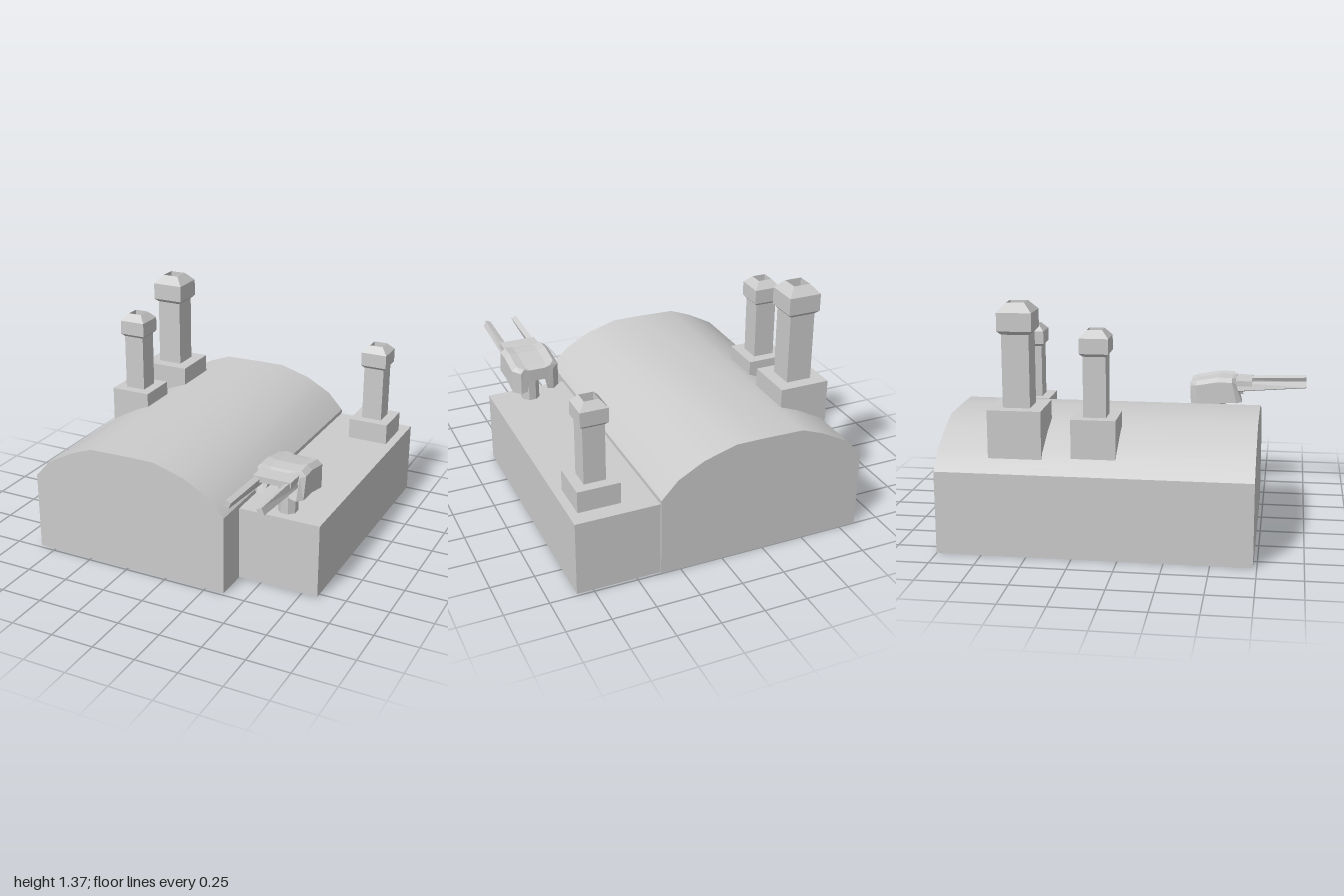
import * as THREE from 'three';
import { toCreasedNormals } from 'three/addons/utils/BufferGeometryUtils.js';

const smoothGrey = new THREE.MeshStandardMaterial({ color: 0xcccccc });
const flatGrey = new THREE.MeshStandardMaterial({ color: 0xcccccc, flatShading: true });

function part(name, geometry, material = flatGrey) {
  const mesh = new THREE.Mesh(geometry, material);
  mesh.name = name;
  return mesh;
}

function block(name, x0, x1, y0, y1, z0, z1) {
  const mesh = part(name, new THREE.BoxGeometry(x1 - x0, y1 - y0, z1 - z0));
  mesh.position.set((x0 + x1) / 2, (y0 + y1) / 2, (z0 + z1) / 2);
  return mesh;
}

// Solid through sections ordered back to front; each has a top and a bottom row, both along +x
function loft(sections) {
  const rings = sections.map(({ top, bottom }) => [...top, ...[...bottom].reverse()]);
  const n = rings[0].length;
  const last = rings.length - 1;
  const index = [];
  for (let s = 0; s < last; s++) {
    for (let i = 0; i < n; i++) {
      const a = s * n + i, b = s * n + (i + 1) % n;
      index.push(a, a + n, b, b, a + n, b + n);
    }
  }
  for (let i = 0; i < n / 2 - 1; i++) {
    const j = n - 1 - i, f = last * n;
    index.push(f + i, f + j, f + j - 1, f + i, f + j - 1, f + i + 1);
    index.push(i, j - 1, j, i, i + 1, j - 1);
  }
  const g = new THREE.BufferGeometry();
  g.setAttribute('position', new THREE.Float32BufferAttribute(rings.flat(2), 3));
  g.setIndex(index);
  const flat = g.toNonIndexed();
  flat.computeVertexNormals();
  return flat;
}

// Hall with a vaulted roof
function hall() {
  const profile = [[-0.85, 0], [0.365, 0], [0.365, 0.465], [0.27, 0.567], [0.12, 0.65], [-0.07, 0.706],
    [-0.24, 0.706], [-0.47, 0.701], [-0.6, 0.652], [-0.757, 0.567], [-0.85, 0.465]];
  const shape = new THREE.Shape(profile.map(p => new THREE.Vector2(...p)));
  const g = new THREE.ExtrudeGeometry(shape, { depth: 1.73, bevelEnabled: false });
  g.translate(0, 0, -1);
  return part('vaultedHall', toCreasedNormals(g, 0.5), smoothGrey);
}

// Square chimney: plinth, shaft, flared cap and sunken flue; y = 0 is the plinth top
function chimney(name, x, y, z, scale) {
  const profile = [[0, -0.3], [0.147, -0.3], [0.147, 0], [0.075, 0], [0.075, 0.4], [0.095, 0.42],
    [0.095, 0.52], [0.049, 0.57], [0.049, 0.5], [0, 0.5]]
    .map(([r, h]) => new THREE.Vector2(r * Math.SQRT2, h));
  const mesh = part(name, new THREE.LatheGeometry(profile, 4, Math.PI / 4));
  mesh.position.set(x, y, z);
  mesh.scale.setScalar(scale);
  return mesh;
}

// Turret section: half width w, roof height t, skirt height b, arched underneath
function turretSection(w, t, b, zTop, zBottom) {
  const top = [[-1, -0.025], [-0.8, 0], [-0.45, -0.01], [0.45, -0.01], [0.8, 0], [1, -0.025]];
  const bottom = [[-1, 0], [-0.62, 0.01], [-0.48, 0.075], [0.48, 0.075], [0.62, 0.01], [1, 0]];
  return {
    top: top.map(([x, y]) => [x * w, t + y, zTop]),
    bottom: bottom.map(([x, y]) => [x * w, b + y, zBottom + (zTop - zBottom) * y / 0.15]),
  };
}

function prongSection(side, z, low, high) {
  const rows = {
    top: [[0.1, high, z], [0.07, high - 0.012, z]],
    bottom: [[0.115, low + 0.01, z], [0.085, low, z]],
  };
  const place = row => row.map(([x, y, d]) => [side * x, y, d]).sort((p, q) => p[0] - q[0]);
  return { top: place(rows.top), bottom: place(rows.bottom) };
}

function gun() {
  const group = new THREE.Group();
  group.name = 'turret';
  group.position.x = 0.613;

  const post = part('turretPost', new THREE.CylinderGeometry(0.056, 0.056, 0.24, 8));
  post.geometry.rotateY(Math.PI / 8);
  post.position.set(0, 0.54, 0.435);
  group.add(post);

  group.add(part('turretHead', loft([
    turretSection(0.1, 0.71, 0.55, 0.27, 0.275),
    turretSection(0.143, 0.72, 0.556, 0.31, 0.31),
    turretSection(0.143, 0.745, 0.585, 0.45, 0.45),
    turretSection(0.143, 0.742, 0.588, 0.535, 0.565),
    turretSection(0.115, 0.735, 0.59, 0.555, 0.6),
  ])));

  group.add(block('gunPlate', -0.11, 0.11, 0.69, 0.724, 0.5, 0.66));
  for (const side of [-1, 1]) {
    group.add(part(side > 0 ? 'leftProng' : 'rightProng', loft([
      prongSection(side, 0.5, 0.645, 0.715),
      prongSection(side, 1, 0.685, 0.732),
    ])));
  }
  return group;
}

export function createModel() {
  const model = new THREE.Group();
  model.name = 'factory';
  model.add(
    hall(),
    block('sideAnnex', 0.365, 0.845, 0.005, 0.44, -0.99, 0.54),
    chimney('tallChimney', -0.64, 0.8, -0.565, 1),
    chimney('shortChimney', -0.656, 0.76, -0.137, 0.83),
    chimney('annexChimney', 0.672, 0.565, -0.773, 0.83),
    gun(),
  );
  return model;
}
